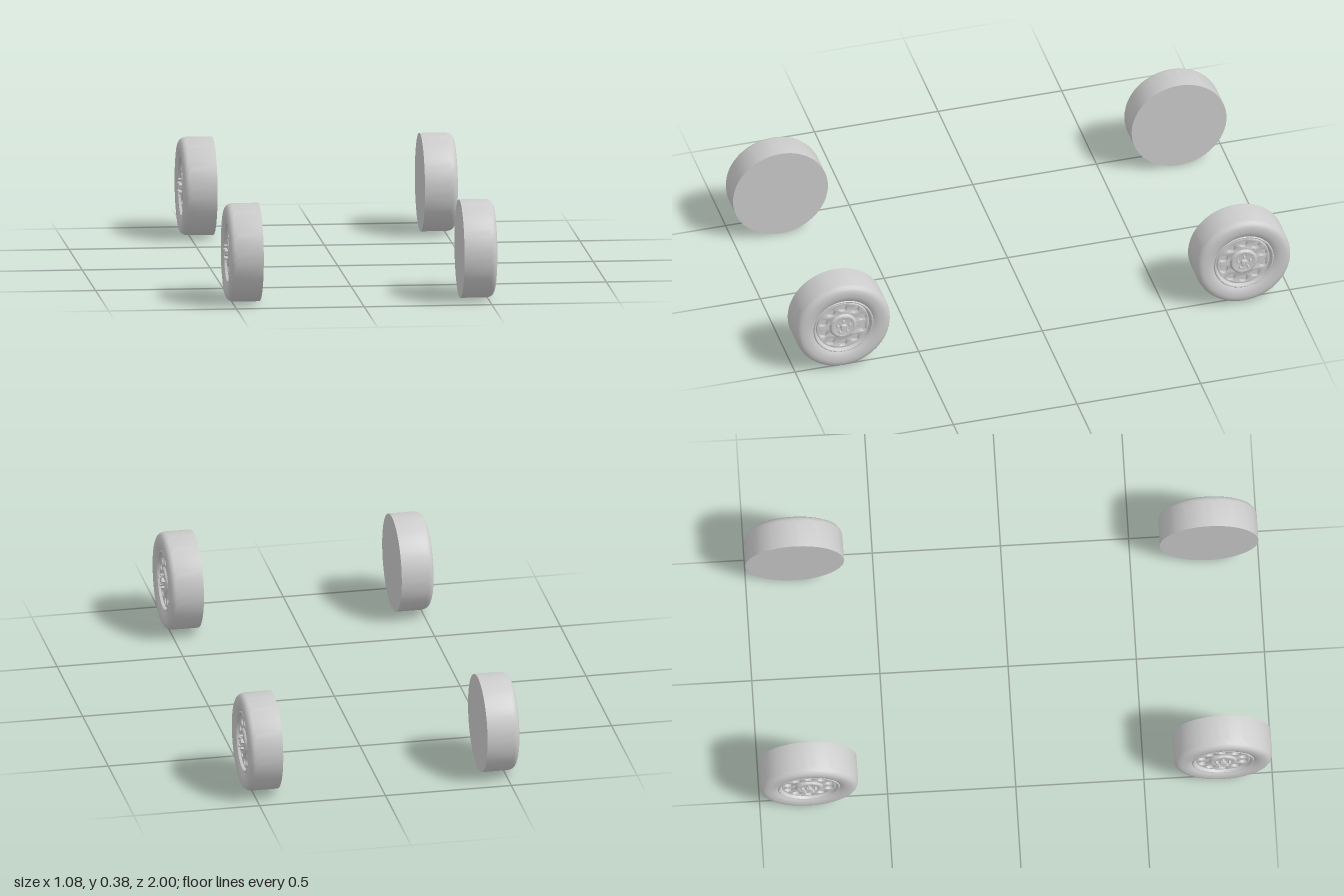
import * as THREE from 'three';
import { toCreasedNormals } from 'three/addons/utils/BufferGeometryUtils.js';

const R = 0.192;          // tyre radius
const HOLES = 10, NUTS = 5;
const grey = new THREE.MeshStandardMaterial({ color: 0xcccccc });

function part(name, geometry, crease = 0.6) {
  const mesh = new THREE.Mesh(toCreasedNormals(geometry, crease), grey);
  mesh.name = name;
  return mesh;
}

// Revolve [radius, offset] pairs around the wheel axle, which points along +x
function turned(points, segments = 64) {
  const profile = points.map(([r, y]) => new THREE.Vector2(r, y));
  return new THREE.LatheGeometry(profile, segments).rotateZ(-Math.PI / 2);
}

// Wheel with its flat inner face at x = 0 and its outer face toward +x
function createWheel() {
  const wheel = new THREE.Group();

  // Tyre with closed inner face and rounded outer shoulder
  wheel.add(part('tyre', turned([
    [0, 0], [R, 0], [R, 0.1], [0.1905, 0.11], [0.187, 0.119], [0.181, 0.126],
    [0.172, 0.1305], [0.16, 0.132], [0.145, 0.131], [0.132, 0.128], [0.122, 0.122], [0.12, 0.116],
  ])));

  // Rim lip and the well behind the wheel disc
  wheel.add(part('rim', turned([
    [0.122, 0.115], [0.121, 0.122], [0.118, 0.125], [0.114, 0.124],
    [0.111, 0.117], [0.109, 0.104], [0.107, 0.098], [0, 0.098],
  ])));

  // Wheel disc pierced by a ring of round holes
  const disc = new THREE.Shape().absarc(0, 0, 0.106, 0, Math.PI * 2);
  for (let i = 0; i < HOLES; i++) {
    const a = Math.PI / 2 + (i / HOLES) * Math.PI * 2;
    disc.holes.push(new THREE.Path().absarc(0.083 * Math.cos(a), 0.083 * Math.sin(a), 0.0155, 0, Math.PI * 2, true));
  }
  wheel.add(part('wheelDisc', new THREE.ExtrudeGeometry(disc, {
    depth: 0.013, bevelEnabled: true, bevelThickness: 0.002, bevelSize: 0.002,
    bevelOffset: -0.002, bevelSegments: 2, curveSegments: 24,
  }).rotateY(Math.PI / 2).translate(0.1, 0, 0)));

  // Raised hub plate with a shallow dish
  wheel.add(part('hubPlate', turned([
    [0.056, 0.112], [0.053, 0.119], [0.049, 0.123], [0.043, 0.124],
    [0.039, 0.122], [0.036, 0.122], [0, 0.122],
  ], 40)));

  // Centre cap
  wheel.add(part('centreCap', turned([
    [0.014, 0.12], [0.014, 0.13], [0.011, 0.133], [0, 0.134],
  ], 24)));

  // Wheel nuts
  for (let i = 0; i < NUTS; i++) {
    const a = Math.PI / 2 + (i / NUTS) * Math.PI * 2;
    const nut = part('wheelNut', new THREE.CylinderGeometry(0.005, 0.006, 0.015, 6).rotateZ(-Math.PI / 2));
    nut.position.set(0.1275, 0.026 * Math.sin(a), 0.026 * Math.cos(a));
    wheel.add(nut);
  }
  return wheel;
}

export function createModel() {
  const model = new THREE.Group();
  model.name = 'wheelSet';

  // The rear pair has a slightly wider track than the front pair
  for (const [axle, z, inner] of [['front', 0.808, 0.393], ['rear', -0.808, 0.406]]) {
    for (const side of [1, -1]) {
      const wheel = createWheel();
      wheel.name = axle + (side > 0 ? 'Left' : 'Right') + 'Wheel';
      wheel.position.set(side * inner, R, z);
      if (side < 0) wheel.rotation.y = Math.PI;
      model.add(wheel);
    }
  }
  return model;
}
